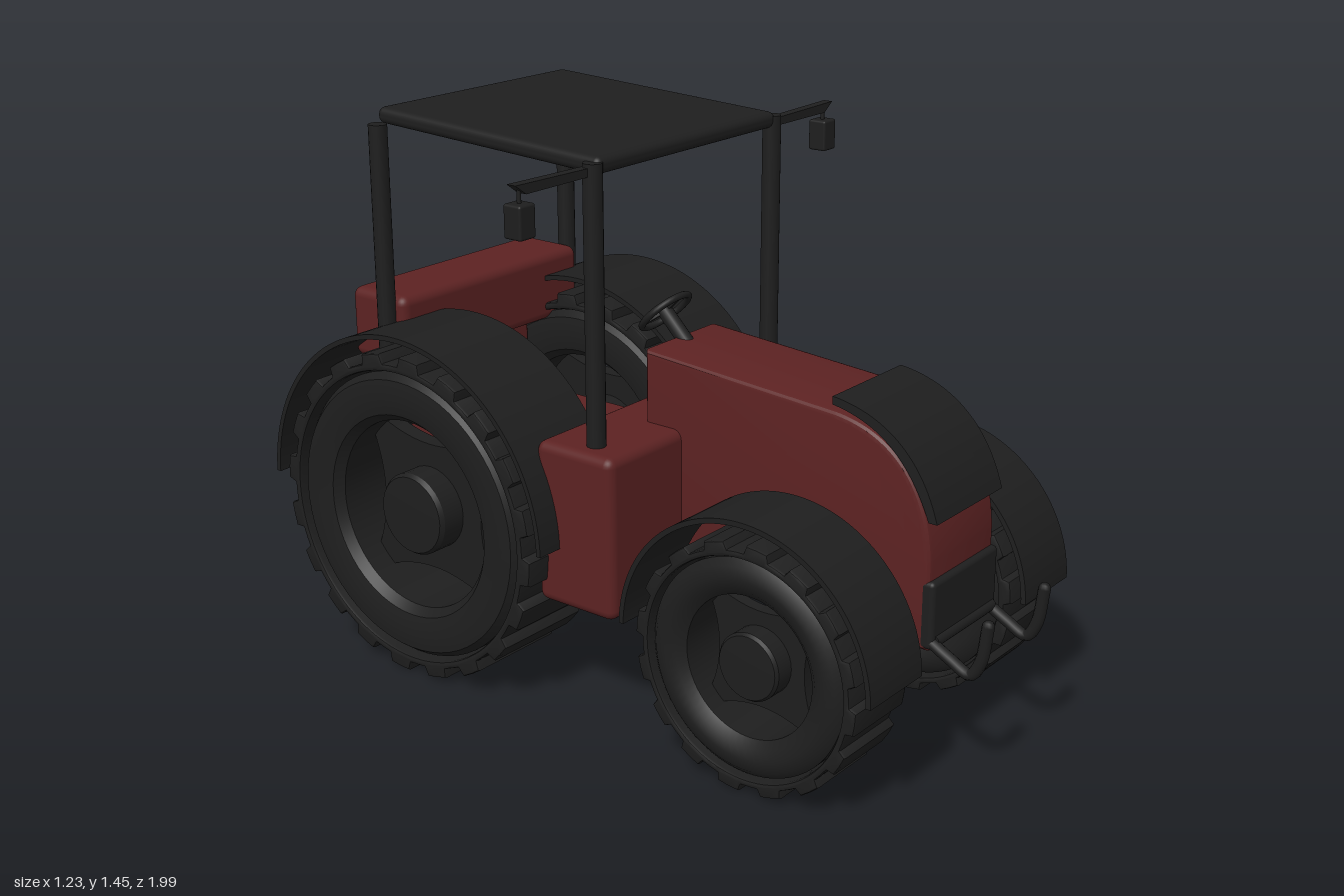
import * as THREE from 'three';
import { toCreasedNormals } from 'three/addons/utils/BufferGeometryUtils.js';
import { RoundedBoxGeometry } from 'three/addons/geometries/RoundedBoxGeometry.js';

const red = new THREE.MeshStandardMaterial({ color: 0x5c2222 });
const black = new THREE.MeshStandardMaterial({ color: 0x1e1e1e });
const V3 = (x, y, z) => new THREE.Vector3(x, y, z);

export function createModel() {
  const model = new THREE.Group();
  model.name = 'tractor';

  function add(name, geometry, material, parent = model) {
    const mesh = new THREE.Mesh(geometry, material);
    mesh.name = name;
    parent.add(mesh);
    return mesh;
  }

  // Rounded box given by its extents on each axis
  function box(name, [x0, x1], [y0, y1], [z0, z1], r, material) {
    const mesh = add(name, new RoundedBoxGeometry(x1 - x0, y1 - y0, z1 - z0, 3, r), material);
    mesh.position.set((x0 + x1) / 2, (y0 + y1) / 2, (z0 + z1) / 2);
    return mesh;
  }

  // Straight round bar between two points
  function bar(name, a, b, r, material) {
    const d = b.clone().sub(a);
    const mesh = add(name, new THREE.CylinderGeometry(r, r, d.length(), 16), material);
    mesh.position.copy(a).add(b).multiplyScalar(0.5);
    mesh.quaternion.setFromUnitVectors(V3(0, 1, 0), d.normalize());
    return mesh;
  }

  // Side profile drawn in (z, y), extruded across x
  function across(name, shape, x0, x1, bevel, material) {
    const g = new THREE.ExtrudeGeometry(shape, {
      depth: x1 - x0 - 2 * bevel, bevelEnabled: bevel > 0, bevelSize: bevel,
      bevelThickness: bevel, bevelOffset: -bevel, bevelSegments: 3, curveSegments: 40,
    });
    g.translate(0, 0, -(x1 - x0) / 2 + bevel);
    const mesh = add(name, toCreasedNormals(g, 0.5), material);
    mesh.rotation.y = -Math.PI / 2;
    mesh.position.x = (x0 + x1) / 2;
    return mesh;
  }

  // Bonnet with a rounded nose
  const hood = new THREE.Shape();
  hood.moveTo(0, 0.34);
  hood.lineTo(0.83, 0.34);
  hood.lineTo(0.83, 0.56);
  hood.bezierCurveTo(0.82, 0.74, 0.73, 0.85, 0.56, 0.868);
  hood.lineTo(0, 0.905);
  across('hood', hood, -0.145, 0.145, 0.015, red);

  // Curved cover standing just off the nose
  const cover = new THREE.Shape();
  cover.moveTo(0.845, 0.66);
  cover.bezierCurveTo(0.8, 0.81, 0.7, 0.89, 0.555, 0.905);
  cover.lineTo(0.555, 0.885);
  cover.bezierCurveTo(0.69, 0.865, 0.77, 0.79, 0.822, 0.66);
  across('noseCover', cover, -0.145, 0.145, 0, black);
  box('lowerGrille', [-0.145, 0.145], [0.345, 0.515], [0.79, 0.845], 0.012, black);

  // Front guard: two hooked tubes on a cross tube
  for (const s of [-1, 1]) {
    const hook = new THREE.CatmullRomCurve3([
      V3(s * 0.13, 0.37, 0.82), V3(s * 0.13, 0.335, 0.885), V3(s * 0.13, 0.312, 0.94),
      V3(s * 0.13, 0.35, 0.965), V3(s * 0.13, 0.445, 0.98)]);
    add('frontGuardHook', new THREE.TubeGeometry(hook, 24, 0.015, 10), black);
    const tip = add('frontGuardTip', new THREE.SphereGeometry(0.015, 10, 8), black);
    tip.position.set(s * 0.13, 0.445, 0.98);
  }
  bar('frontGuardCrossTube', V3(-0.13, 0.365, 0.84), V3(0.13, 0.365, 0.84), 0.015, black);

  // Middle and rear body
  box('middleBody', [-0.415, 0.415], [0.3, 0.72], [-0.125, 0.115], 0.025, red);
  box('transmission', [-0.18, 0.18], [0.28, 0.6], [-0.72, -0.1], 0.02, red);
  box('rearBody', [-0.2, 0.2], [0.25, 0.82], [-0.83, -0.695], 0.02, red);
  box('rearTank', [-0.338, 0.338], [0.775, 0.963], [-0.83, -0.635], 0.025, red);

  // Axles
  bar('frontAxle', V3(-0.34, 0.318, 0.52), V3(0.34, 0.318, 0.52), 0.036, black);
  bar('rearAxle', V3(-0.34, 0.435, -0.52), V3(0.34, 0.435, -0.52), 0.05, black);
  const differential = add('frontDifferential', new THREE.SphereGeometry(1, 24, 16), black);
  differential.scale.set(0.125, 0.052, 0.075);
  differential.position.set(0, 0.33, 0.52);

  // Wheel facing local +z: lugged tread, side walls, four-armed disc and hub
  function wheel({ R, base, gap, rim, hub, width: w, lugs }) {
    const group = new THREE.Group();

    const outline = [];
    for (let i = 0; i < lugs; i++) {
      for (const [f, r] of [[0, base], [0.2, base], [0.4, base], [0.46, R], [0.7, R], [0.94, R]]) {
        const a = ((i + f) / lugs) * Math.PI * 2;
        outline.push(new THREE.Vector2(r * Math.cos(a), r * Math.sin(a)));
      }
    }
    const tread = new THREE.Shape(outline);
    tread.holes.push(new THREE.Path().absarc(0, 0, gap + 0.003, 0, Math.PI * 2, true));
    const treadGeo = new THREE.ExtrudeGeometry(tread, {
      depth: w - 0.016, bevelSize: 0.008, bevelOffset: -0.008, bevelThickness: 0.008,
      bevelSegments: 2, curveSegments: 64,
    });
    treadGeo.translate(0, 0, -w / 2 + 0.008);
    add('tread', toCreasedNormals(treadGeo, 0.5), black, group);

    const h = w / 2, m = (rim + gap) / 2;
    const wall = [[rim, -h * 0.75], [rim + 0.02, -h * 0.92], [m, -h], [gap - 0.02, -h * 0.95],
      [gap - 0.003, -h * 0.8], [gap - 0.003, h * 0.8], [gap - 0.02, h * 0.95], [m, h],
      [rim + 0.02, h * 0.92], [rim, h * 0.75], [rim, -h * 0.75]];
    const wallGeo = new THREE.LatheGeometry(wall.map(([x, y]) => new THREE.Vector2(x, y)), 64);
    wallGeo.rotateX(Math.PI / 2);
    add('sideWall', toCreasedNormals(wallGeo, 0.6), black, group);

    const disc = new THREE.Shape();
    const polar = (deg, r) => [r * Math.cos(deg * Math.PI / 180), r * Math.sin(deg * Math.PI / 180)];
    disc.moveTo(...polar(-38, rim * 1.03));
    for (let k = 0; k < 4; k++) {
      const a = k * 90;
      disc.quadraticCurveTo(...polar(a, rim * 0.55), ...polar(a + 38, rim * 1.03));
      disc.lineTo(...polar(a + 52, rim * 1.03));
    }
    const discGeo = new THREE.ExtrudeGeometry(disc, { depth: w * 0.16, bevelEnabled: false, curveSegments: 16 });
    discGeo.translate(0, 0, -w * 0.03);
    add('wheelDisc', toCreasedNormals(discGeo, 0.5), black, group);

    const hubProfile = [[0, -h * 0.5], [hub, -h * 0.5], [hub, h * 0.72], [hub * 0.93, h * 0.8], [0, h * 0.82]];
    const hubGeo = new THREE.LatheGeometry(hubProfile.map(([x, y]) => new THREE.Vector2(x, y)), 32);
    hubGeo.rotateX(Math.PI / 2);
    add('hub', toCreasedNormals(hubGeo, 0.5), black, group);
    return group;
  }

  // Half-round mudguard
  function fender(name, z, y, r, x0, x1) {
    const arc = new THREE.Shape();
    arc.absarc(z, y, r, 0.02, Math.PI - 0.02, false);
    arc.absarc(z, y, r - 0.013, Math.PI - 0.02, 0.02, true);
    across(name, arc, x0, x1, 0, black);
  }

  const frontSpec = { R: 0.313, base: 0.294, gap: 0.273, rim: 0.178, hub: 0.085, width: 0.21, lugs: 16 };
  const rearSpec = { R: 0.433, base: 0.408, gap: 0.385, rim: 0.252, hub: 0.11, width: 0.285, lugs: 20 };
  for (const s of [-1, 1]) {
    const front = wheel(frontSpec);
    front.name = 'frontWheel';
    front.position.set(s * 0.34, 0.315, 0.525);
    const rear = wheel(rearSpec);
    rear.name = 'rearWheel';
    rear.position.set(s * 0.342, 0.435, -0.52);
    for (const g of [front, rear]) {
      g.rotation.y = s * Math.PI / 2;
      model.add(g);
    }
    const span = (a, b) => (s > 0 ? [a, b] : [-b, -a]);
    fender('frontFender', 0.52, 0.325, 0.357, ...span(0.237, 0.447));
    fender('rearFender', -0.522, 0.445, 0.473, ...span(0.2, 0.486));

    // Roof posts
    bar('frontPost', V3(s * 0.35, 0.7, 0.018), V3(s * 0.35, 1.41, 0.018), 0.024, black);
    bar('rearPost', V3(s * 0.35, 0.82, -0.685), V3(s * 0.35, 1.41, -0.685), 0.024, black);

    // Lamp arm with a pointed end, hanger and lamp
    const arm = new THREE.Shape([[0.35, 1.38], [0.58, 1.38], [0.615, 1.405], [0.35, 1.4]]
      .map(([x, y]) => new THREE.Vector2(x * s, y)));
    const armMesh = add('lampArm', new THREE.ExtrudeGeometry(arm, { depth: 0.026, bevelEnabled: false }), black);
    armMesh.position.z = -0.003;
    bar('lampHanger', V3(s * 0.59, 1.35, 0.01), V3(s * 0.59, 1.395, 0.01), 0.005, black);
    box('lamp', span(0.564, 0.616), [1.28, 1.36], [-0.016, 0.036], 0.006, black);
  }

  // Roof, rising towards the rear
  const roof = box('roof', [-0.348, 0.348], [1.395, 1.437], [-0.69, 0.035], 0.018, black);
  roof.rotation.x = 0.045;

  // Steering column and wheel
  bar('steeringColumn', V3(0, 0.87, 0.04), V3(0, 0.965, -0.055), 0.02, black);
  const steering = new THREE.Group();
  steering.name = 'steeringWheel';
  steering.position.set(0, 0.96, -0.05);
  steering.rotation.x = Math.PI / 4;
  add('steeringRim', new THREE.TorusGeometry(0.07, 0.009, 10, 40), black, steering);
  for (let k = 0; k < 3; k++) {
    const spoke = add('steeringSpoke', new THREE.BoxGeometry(0.07, 0.012, 0.008).translate(0.035, 0, 0), black, steering);
    spoke.rotation.z = Math.PI / 2 + (k * Math.PI * 2) / 3;
  }
  model.add(steering);

  return model;
}
